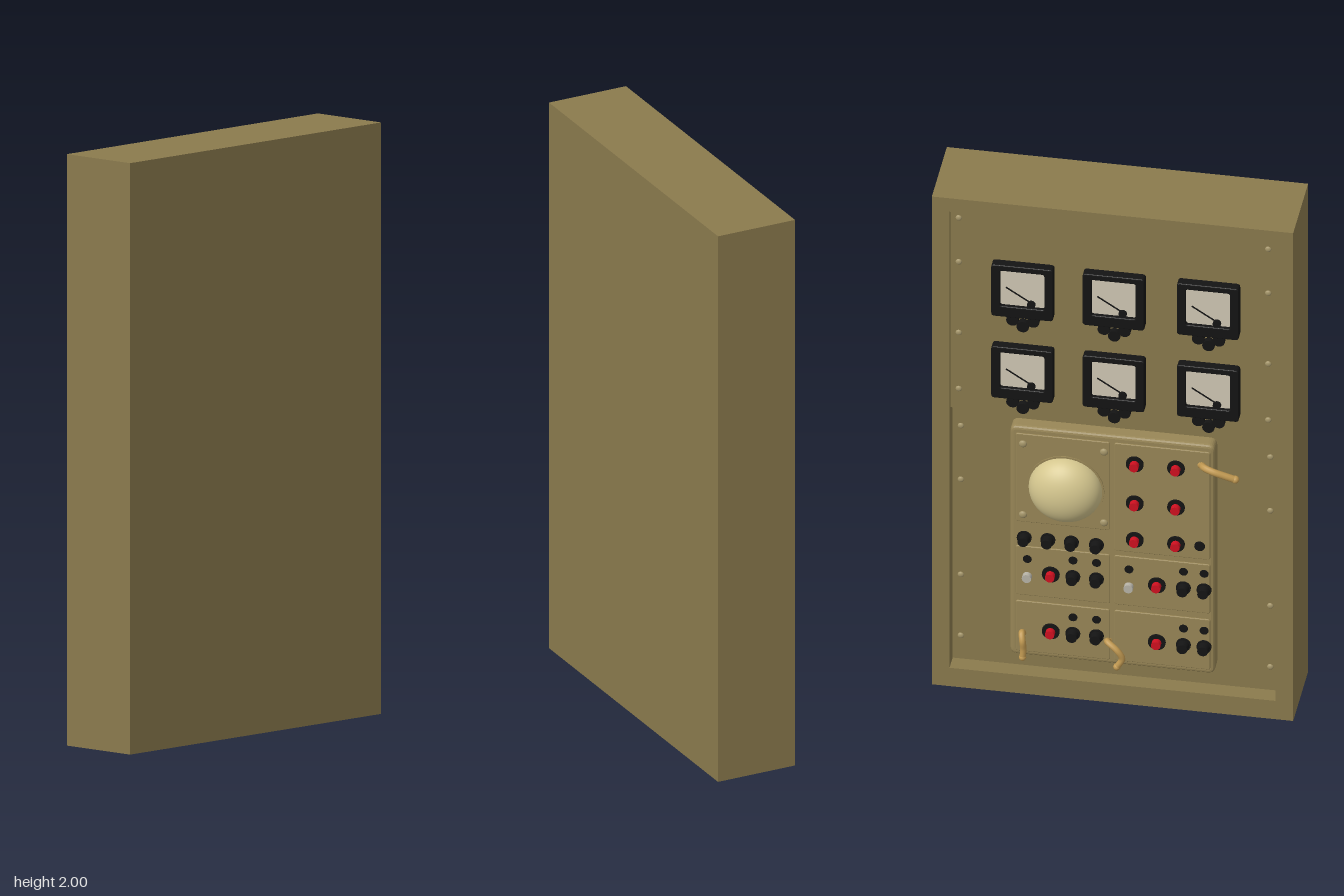
import * as THREE from 'three';

const mat = (color) => new THREE.MeshStandardMaterial({ color });
const M = {
  body: mat(0x8a7a4d), unit: mat(0x988656), black: mat(0x141414), red: mat(0xd01020),
  lens: mat(0xd4c68e), brass: mat(0xc29a52), dial: mat(0xd0c8b4), steel: mat(0xb8b4a8), screw: mat(0xa39468),
};

// Everything is laid out on the control face: u across, v up, w outwards.
const face = new THREE.Group();
function add(name, geo, material, u = 0, v = 0, w = 0, parent = face) {
  const mesh = new THREE.Mesh(geo, material);
  mesh.name = name;
  mesh.position.set(u, v, w);
  parent.add(mesh);
  return mesh;
}

// Box given by its limits
function slab(name, u0, u1, v0, v1, w0, w1, material, parent = face) {
  return add(name, new THREE.BoxGeometry(u1 - u0, v1 - v0, w1 - w0), material,
    (u0 + u1) / 2, (v0 + v1) / 2, (w0 + w1) / 2, parent);
}

// Cylinder standing out of the face at depth w
function peg(name, r, h, u, v, w, material, parent = face, top = r) {
  const geo = new THREE.CylinderGeometry(top, r, h, 20).rotateX(Math.PI / 2).translate(0, 0, h / 2);
  return add(name, geo, material, u, v, w, parent);
}

function rect(u0, u1, v0, v1, r = 0, Type = THREE.Shape) {
  const s = new Type();
  s.moveTo(u0 + r, v0);
  s.lineTo(u1 - r, v0);
  if (r) s.quadraticCurveTo(u1, v0, u1, v0 + r);
  s.lineTo(u1, v1 - r);
  if (r) s.quadraticCurveTo(u1, v1, u1 - r, v1);
  s.lineTo(u0 + r, v1);
  if (r) s.quadraticCurveTo(u0, v1, u0, v1 - r);
  s.lineTo(u0, v0 + r);
  if (r) s.quadraticCurveTo(u0, v0, u0 + r, v0);
  return s;
}

function plate(name, shape, w0, w1, bevel, material, parent = face) {
  const geo = new THREE.ExtrudeGeometry(shape, {
    depth: w1 - w0 - bevel, bevelEnabled: bevel > 0, bevelSize: bevel,
    bevelThickness: bevel, bevelOffset: -bevel, bevelSegments: 3, curveSegments: 6,
  });
  return add(name, geo, material, 0, 0, w0, parent);
}

// Square panel meter with window, needle and terminals
function meter(u, v) {
  const g = new THREE.Group();
  g.name = 'meter';
  g.position.set(u, v, 0);
  face.add(g);
  const rim = rect(-0.105, 0.105, -0.105, 0.105, 0.012);
  rim.holes.push(rect(-0.075, 0.075, -0.062, 0.082, 0.008, THREE.Path));
  plate('meterFrame', rim, 0.085, 0.118, 0.004, M.black, g);
  slab('meterDial', -0.08, 0.08, -0.07, 0.09, 0.085, 0.104, M.dial, g);
  const needle = slab('meterNeedle', -0.002, 0.002, -0.01, 0.1, 0.104, 0.107, M.black, g);
  needle.position.set(-0.01, -0.02, 0.106);
  needle.rotation.z = 1.0;
  peg('needlePivot', 0.014, 0.009, 0.03, -0.05, 0.104, M.black, g);
  for (const [a, b] of [[-0.035, -0.125], [0.035, -0.125], [0, -0.148]]) {
    peg('meterTerminal', 0.021, 0.02, a, b, 0.085, M.black, g);
  }
}

function knob(u, v) {
  peg('knobSkirt', 0.025, 0.008, u, v, 0.098, M.black);
  peg('knob', 0.021, 0.028, u, v, 0.104, M.black, face, 0.018);
}

function redKnob(u, v) {
  peg('redKnobBase', 0.03, 0.008, u, v, 0.098, M.black);
  peg('redKnob', 0.016, 0.022, u, v, 0.105, M.red);
}

function screw(u, v, w, r = 0.011) {
  const s = add('screw', new THREE.SphereGeometry(r, 12, 6, 0, Math.PI * 2, 0, Math.PI / 2).rotateX(Math.PI / 2),
    M.screw, u, v, w);
  s.scale.z = 0.6;
}

function hook(points, r) {
  const curve = new THREE.CatmullRomCurve3(points.map((p) => new THREE.Vector3(...p)));
  add('handle', new THREE.TubeGeometry(curve, 24, r, 10), M.brass);
  for (const p of [points[0], points[points.length - 1]]) add('handleEnd', new THREE.SphereGeometry(r * 1.15, 12, 8), M.brass, ...p);
}

export function createModel() {
  face.clear();
  face.name = 'cabinet';
  face.rotation.y = -Math.PI / 2;

  // Cabinet with a recessed face
  slab('cabinetBody', -0.613, 0.613, 0, 2, -0.185, 0.045, M.body);
  const frame = rect(-0.613, 0.613, 0, 2);
  frame.holes.push(rect(-0.553, 0.553, 0.075, 1.945, 0, THREE.Path));
  plate('cabinetFrame', frame, 0.045, 0.105, 0, M.body);
  slab('meterPanel', -0.553, 0.553, 1.13, 1.945, 0.045, 0.085, M.body);

  // Panel screws
  for (const side of [-1, 1]) {
    for (const v of [1.91, 1.73, 1.44, 1.21]) screw(side * 0.525, v, 0.085);
    for (const v of [1.03, 0.81, 0.42, 0.17]) screw(side * 0.525, v, 0.045);
  }

  // Two rows of meters
  for (const v of [1.65, 1.315]) for (const u of [-0.305, 0.005, 0.325]) meter(u, v);

  // Instrument unit and its sub-panels
  plate('instrumentUnit', rect(-0.35, 0.345, 0.15, 1.085, 0.025), 0.045, 0.094, 0.012, M.unit);
  for (const [u0, u1, v0, v1] of [
    [-0.33, -0.01, 0.7, 1.06], [0.005, 0.33, 0.62, 1.06],
    [-0.33, -0.01, 0.4, 0.6], [0.005, 0.33, 0.4, 0.6],
    [-0.33, -0.01, 0.17, 0.375], [0.005, 0.33, 0.17, 0.375],
  ]) plate('subPanel', rect(u0, u1, v0, v1, 0.008), 0.09, 0.099, 0.003, M.unit);

  // Domed screen
  peg('screenRing', 0.132, 0.006, -0.16, 0.855, 0.097, M.unit);
  const dome = add('screenDome',
    new THREE.SphereGeometry(0.125, 40, 16, 0, Math.PI * 2, 0, Math.PI / 2).rotateX(Math.PI / 2),
    M.lens, -0.16, 0.855, 0.098);
  dome.scale.z = 0.087 / 0.125;
  for (const u of [-0.305, -0.03]) for (const v of [0.73, 1.02]) screw(u, v, 0.099, 0.014);

  // Controls
  for (const v of [0.985, 0.825, 0.675]) for (const u of [0.075, 0.215]) redKnob(u, v);
  for (const u of [-0.3, -0.22, -0.14, -0.055]) knob(u, 0.638);
  for (const v of [0.498, 0.265]) {
    for (const u of [-0.135, -0.055, 0.24, 0.31]) knob(u, v);
    for (const u of [-0.21, 0.15]) redKnob(u, v);
    for (const u of [-0.135, -0.055, 0.24, 0.31]) peg('socket', 0.015, 0.004, u, v + 0.065, 0.098, M.black);
  }
  peg('socket', 0.018, 0.006, 0.295, 0.675, 0.098, M.black);
  for (const u of [-0.29, 0.055]) {
    peg('toggle', 0.016, 0.02, u, 0.48, 0.098, M.steel);
    peg('socket', 0.015, 0.004, u, 0.55, 0.098, M.black);
  }

  // Curved handles
  hook([[0.3, 1.005, 0.095], [0.315, 1.015, 0.125], [0.345, 1.01, 0.136], [0.385, 0.995, 0.132], [0.42, 0.98, 0.125]], 0.012);
  for (const [u, du] of [[-0.3, 0.005], [0.02, 0.035]]) {
    hook([[u - du, 0.245, 0.095], [u - du, 0.26, 0.122], [u, 0.24, 0.138], [u + du * 0.5, 0.205, 0.134], [u, 0.17, 0.134]], 0.011);
  }

  const model = new THREE.Group();
  model.name = 'controlCabinet';
  model.add(face);
  return model;
}
